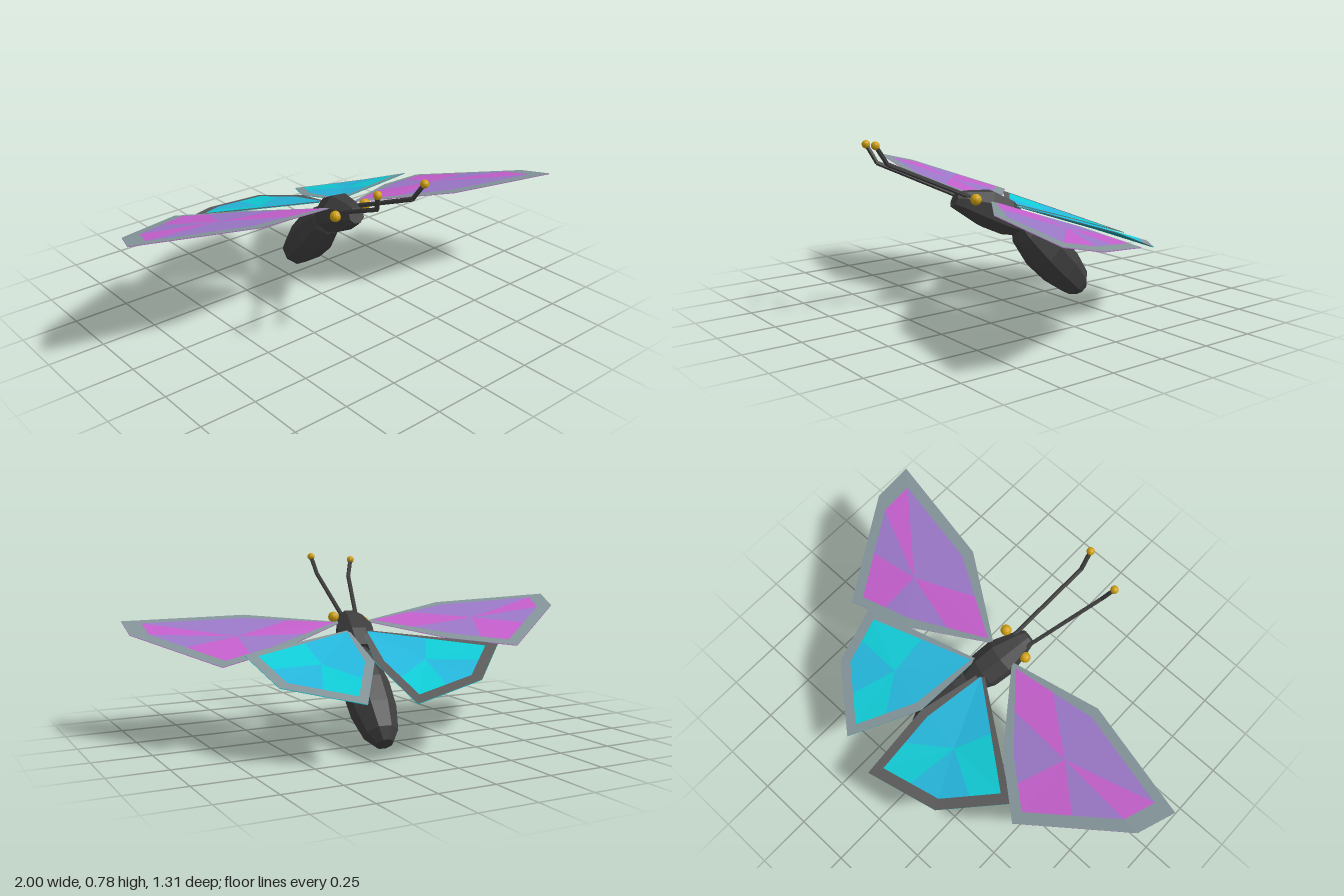
import * as THREE from 'three';

const V = (p) => new THREE.Vector3(...p);
const paint = (color) => new THREE.MeshStandardMaterial({ color, flatShading: true, side: THREE.DoubleSide });
const DARK = paint(0x3e3e3e);
const GOLD = paint(0xd0a010);

function add(parent, name, geometry, material) {
  const mesh = new THREE.Mesh(geometry, material);
  mesh.name = name;
  parent.add(mesh);
  return mesh;
}

function surface(points, index) {
  const g = new THREE.BufferGeometry().setFromPoints(points);
  if (index) g.setIndex(index);
  g.computeVertexNormals();
  return g;
}

// Faceted body segment: eight-sided rings [x, y, z, radius] square to the long axis
function loft(stations, sides = 8) {
  const centres = stations.map((s) => V(s.slice(0, 3)));
  const axis = centres.at(-1).clone().sub(centres[0]).normalize();
  const u = new THREE.Vector3(0, 1, 0).cross(axis).normalize();
  const v = axis.clone().cross(u);
  const points = [], index = [];
  stations.forEach((s, j) => {
    for (let i = 0; i < sides; i++) {
      const a = ((i + 0.5) / sides) * Math.PI * 2;
      points.push(centres[j].clone()
        .addScaledVector(u, Math.cos(a) * s[3])
        .addScaledVector(v, Math.sin(a) * s[3]));
      if (j === 0) continue;
      const b = j * sides + i, c = j * sides + ((i + 1) % sides);
      index.push(b - sides, c - sides, c, b - sides, c, b);
    }
  });
  // End caps
  const first = points.push(centres[0]) - 1, last = points.push(centres.at(-1)) - 1;
  const end = (stations.length - 1) * sides;
  for (let i = 0; i < sides; i++) {
    const n = (i + 1) % sides;
    index.push(first, n, i, last, end + i, end + n);
  }
  return surface(points, index);
}

// Wing: coloured underside, grey rim sheet, and a two-tone inset of half-edge triangles
function wing(parent, name, { outline, centre, base, accent, accents, under, rim }) {
  const group = new THREE.Group();
  group.name = name;
  parent.add(group);
  const c = V(centre), pts = outline.map(V);
  const inset = pts.map((p, i) => c.clone().lerp(p, i === 0 ? 0.93 : 0.82));
  const fan = (loop) => loop.flatMap((p, i) => [c, p, loop[(i + 1) % loop.length]]);

  add(group, 'wingUnderside', surface(fan(pts)), paint(under)).position.y = -0.003;
  add(group, 'wingRim', surface(fan(pts)), paint(rim));

  const tones = [[], []];
  inset.forEach((p, i) => {
    const next = inset[(i + 1) % inset.length];
    const mid = p.clone().lerp(next, 0.5);
    tones[accents.includes(2 * i) ? 1 : 0].push(c, p, mid);
    tones[accents.includes(2 * i + 1) ? 1 : 0].push(c, mid, next);
  });
  add(group, 'wingPanel', surface(tones[0]), paint(base)).position.y = 0.003;
  add(group, 'wingAccent', surface(tones[1]), paint(accent)).position.y = 0.003;
}

function rod(parent, a, b, radius) {
  const p = V(a), q = V(b), d = q.clone().sub(p);
  const mesh = add(parent, 'antennaRod', new THREE.CylinderGeometry(radius, radius, d.length(), 6), DARK);
  mesh.position.copy(p).lerp(q, 0.5);
  mesh.quaternion.setFromUnitVectors(new THREE.Vector3(0, 1, 0), d.normalize());
}

function ball(parent, name, at, radius) {
  add(parent, name, new THREE.SphereGeometry(radius, 12, 8), GOLD).position.set(...at);
}

export function createModel() {
  const model = new THREE.Group();
  model.name = 'butterfly';

  // Body
  add(model, 'headAndThorax', loft([
    [-0.015, 0.505, 0.25, 0.036], [-0.005, 0.497, 0.215, 0.052], [0.02, 0.46, 0.11, 0.088],
    [0.045, 0.415, 0.02, 0.085], [0.065, 0.375, -0.05, 0.055],
  ]), DARK);
  add(model, 'abdomen', loft([
    [0.075, 0.38, -0.045, 0.05], [0.085, 0.345, -0.07, 0.078], [0.1, 0.245, -0.165, 0.104],
    [0.11, 0.155, -0.255, 0.1], [0.118, 0.075, -0.335, 0.075], [0.12, 0.04, -0.368, 0.04],
  ]), DARK);

  // Eyes
  ball(model, 'rightEye', [-0.065, 0.487, 0.17], 0.025);
  ball(model, 'leftEye', [0.078, 0.515, 0.2], 0.025);

  // Antennae: base, knee, tip
  const antennae = {
    rightAntenna: [[-0.04, 0.51, 0.2], [-0.17, 0.675, 0.54], [-0.2, 0.755, 0.575]],
    leftAntenna: [[0.035, 0.52, 0.2], [-0.015, 0.69, 0.58], [-0.01, 0.772, 0.637]],
  };
  for (const [name, [base, knee, tip]] of Object.entries(antennae)) {
    const group = new THREE.Group();
    group.name = name;
    model.add(group);
    rod(group, base, knee, 0.01);
    rod(group, knee, tip, 0.01);
    ball(group, 'antennaTip', tip, 0.018);
  }

  // Front wings: root, front, tip, outer, back, inner back
  const front = { base: 0x9b78c8, accent: 0xc45fcc, accents: [0, 4, 5, 7, 8, 11], under: 0x9a58a8, rim: 0x84959a };
  wing(model, 'leftFrontWing', {
    ...front, centre: [0.58, 0.462, 0.12],
    outline: [[0.08, 0.5, 0.12], [0.45, 0.527, 0.38], [0.99, 0.515, 0.49],
      [1, 0.475, 0.31], [0.74, 0.38, -0.14], [0.45, 0.425, -0.07]],
  });
  wing(model, 'rightFrontWing', {
    ...front, centre: [-0.51, 0.506, -0.07],
    outline: [[-0.04, 0.5, 0.11], [-0.47, 0.56, 0.185], [-1, 0.59, 0.05],
      [-0.94, 0.55, -0.11], [-0.52, 0.42, -0.41], [-0.29, 0.443, -0.22]],
  });

  // Rear wings: root, outer, outer back, tip, inner
  const rear = { base: 0x25b8de, accent: 0x10cdd8, accents: [1, 2, 5, 6], under: 0x109aa4 };
  wing(model, 'leftRearWing', {
    ...rear, rim: 0x84959a, centre: [0.35, 0.375, -0.25],
    outline: [[0.09, 0.475, 0.02], [0.64, 0.42, -0.12], [0.59, 0.32, -0.37],
      [0.32, 0.27, -0.6], [0.13, 0.38, -0.3]],
  });
  wing(model, 'rightRearWing', {
    ...rear, rim: 0x5c5c5c, centre: [-0.1, 0.375, -0.33],
    outline: [[0.03, 0.475, 0], [-0.46, 0.425, -0.35], [-0.22, 0.32, -0.58],
      [0.13, 0.265, -0.655], [0.13, 0.38, -0.3]],
  });

  return model;
}
